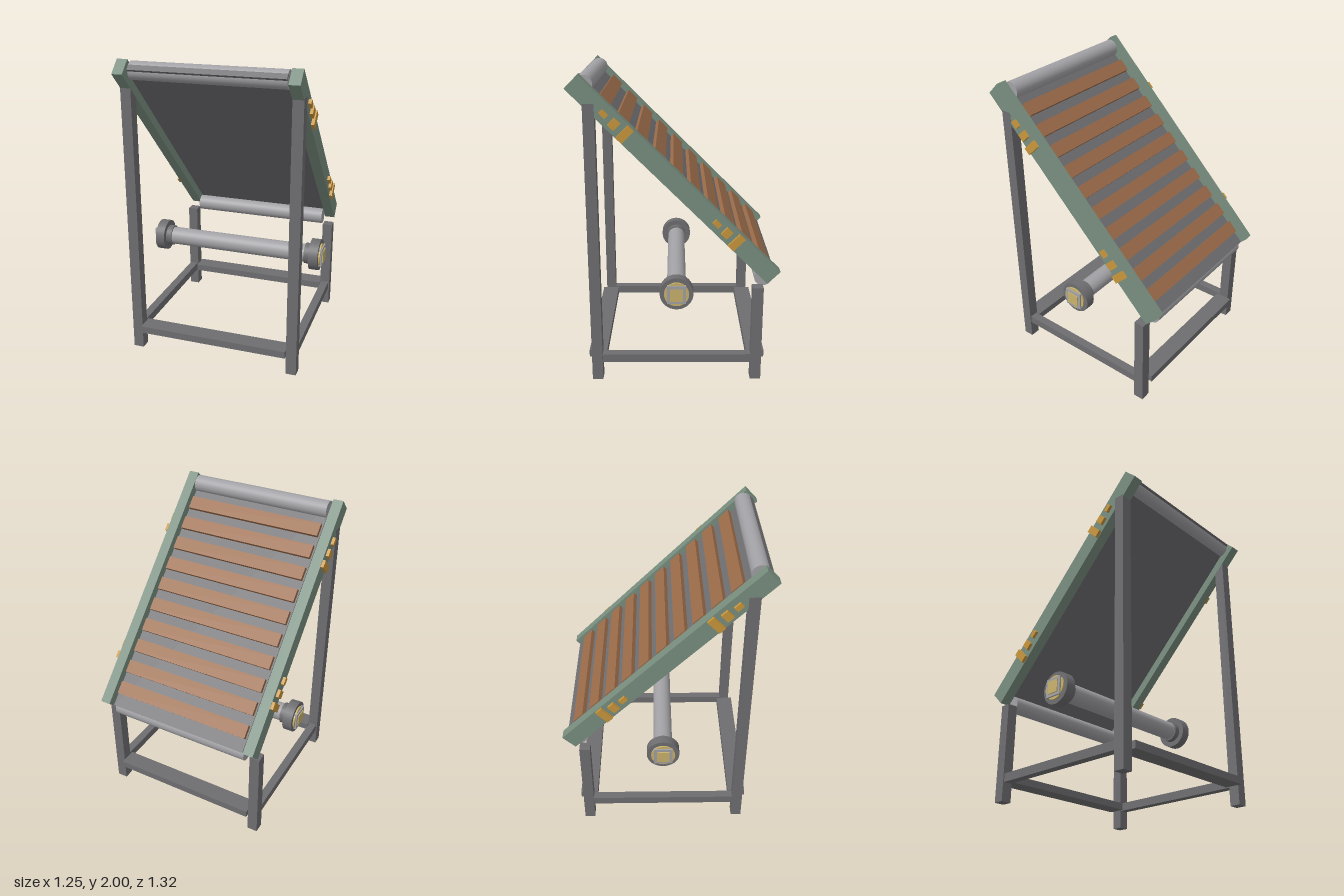
import * as THREE from 'three';

const mat = (name, color) => {
  const m = new THREE.MeshStandardMaterial({ color });
  m.name = name;
  return m;
};

export function createModel() {
  const root = new THREE.Group();
  root.name = 'inclinedConveyor';

  const steel = mat('darkSteel', 0x6e6e71);
  const roller = mat('rollerGrey', 0xa2a2a6);
  const green = mat('railGreen', 0x788e7f);
  const wood = mat('slatBrown', 0x9a6b49);
  const gold = mat('amber', 0xc8963c);
  const pale = mat('paleBrass', 0xc9b26c);

  const box = (parent, name, m, w, h, d, x, y, z) => {
    const mesh = new THREE.Mesh(new THREE.BoxGeometry(w, h, d), m);
    mesh.name = name;
    mesh.position.set(x, y, z);
    parent.add(mesh);
    return mesh;
  };
  // Cylinder lying along x, from x0 to x1
  const rod = (parent, name, m, r, x0, x1, y, z) => {
    const geo = new THREE.CylinderGeometry(r, r, Math.abs(x1 - x0), 32).rotateZ(Math.PI / 2);
    const mesh = new THREE.Mesh(geo, m);
    mesh.name = name;
    mesh.position.set((x0 + x1) / 2, y, z);
    parent.add(mesh);
    return mesh;
  };

  // Standing frame: tall front legs, short back legs, low stretchers
  const frame = new THREE.Group();
  frame.name = 'frame';
  root.add(frame);
  for (const s of [1, -1]) {
    box(frame, 'frontLeg', steel, 0.07, 1.83, 0.07, s * 0.546, 0.915, 0.521);
    box(frame, 'backLeg', steel, 0.07, 0.655, 0.07, s * 0.546, 0.3275, -0.521);
    box(frame, 'sideStretcher', steel, 0.056, 0.056, 0.98, s * 0.546, 0.151, 0);
    box(frame, 'crossStretcher', steel, 1.02, 0.048, 0.118, 0, 0.151, s * 0.521);
  }

  // Sloping deck: local z runs up the slope, local y points out of the slats
  const deck = new THREE.Group();
  deck.name = 'slopingDeck';
  deck.position.y = 1.343;
  deck.rotation.x = -Math.PI / 4;
  root.add(deck);
  box(deck, 'bed', steel, 0.99, 0.038, 1.738, 0, 0.002, 0);
  for (let i = 0; i < 10; i++) {
    box(deck, 'slat', wood, 0.97, 0.03, 0.088, 0, 0.036, -0.738 + i * 0.1545);
  }
  for (const s of [1, -1]) {
    box(deck, 'sideRail', green, 0.07, 0.114, 1.746, s * 0.545, 0, 0);
    // Two sets of three growing marker blocks on the outer face
    for (const start of [0.61, -0.355]) {
      [0.032, 0.06, 0.105].forEach((h, i) => {
        box(deck, 'markerBlock', gold, 0.022, h, 0.05, s * 0.589, 0, start - i * 0.087);
      });
    }
  }

  // Rollers at both ends of the deck
  rod(root, 'upperRoller', roller, 0.058, -0.495, 0.495, 1.932, 0.557);
  rod(root, 'lowerRoller', roller, 0.056, -0.495, 0.495, 0.694, -0.558);

  // Free axle with flanged, capped ends
  const axle = new THREE.Group();
  axle.name = 'axle';
  axle.position.y = 0.625;
  root.add(axle);
  rod(axle, 'axleShaft', roller, 0.0625, -0.53, 0.53, 0, 0);
  for (const s of [1, -1]) {
    rod(axle, 'hub', steel, 0.072, s * 0.495, s * 0.54, 0, 0);
    rod(axle, 'flange', steel, 0.108, s * 0.535, s * 0.6, 0, 0);
    rod(axle, 'brassDisc', pale, 0.08, s * 0.59, s * 0.611, 0, 0);
    box(axle, 'squarePlate', roller, 0.03, 0.122, 0.122, s * 0.606, 0, 0);
    box(axle, 'squareCap', pale, 0.02, 0.084, 0.084, s * 0.617, 0, 0);
  }

  return root;
}
